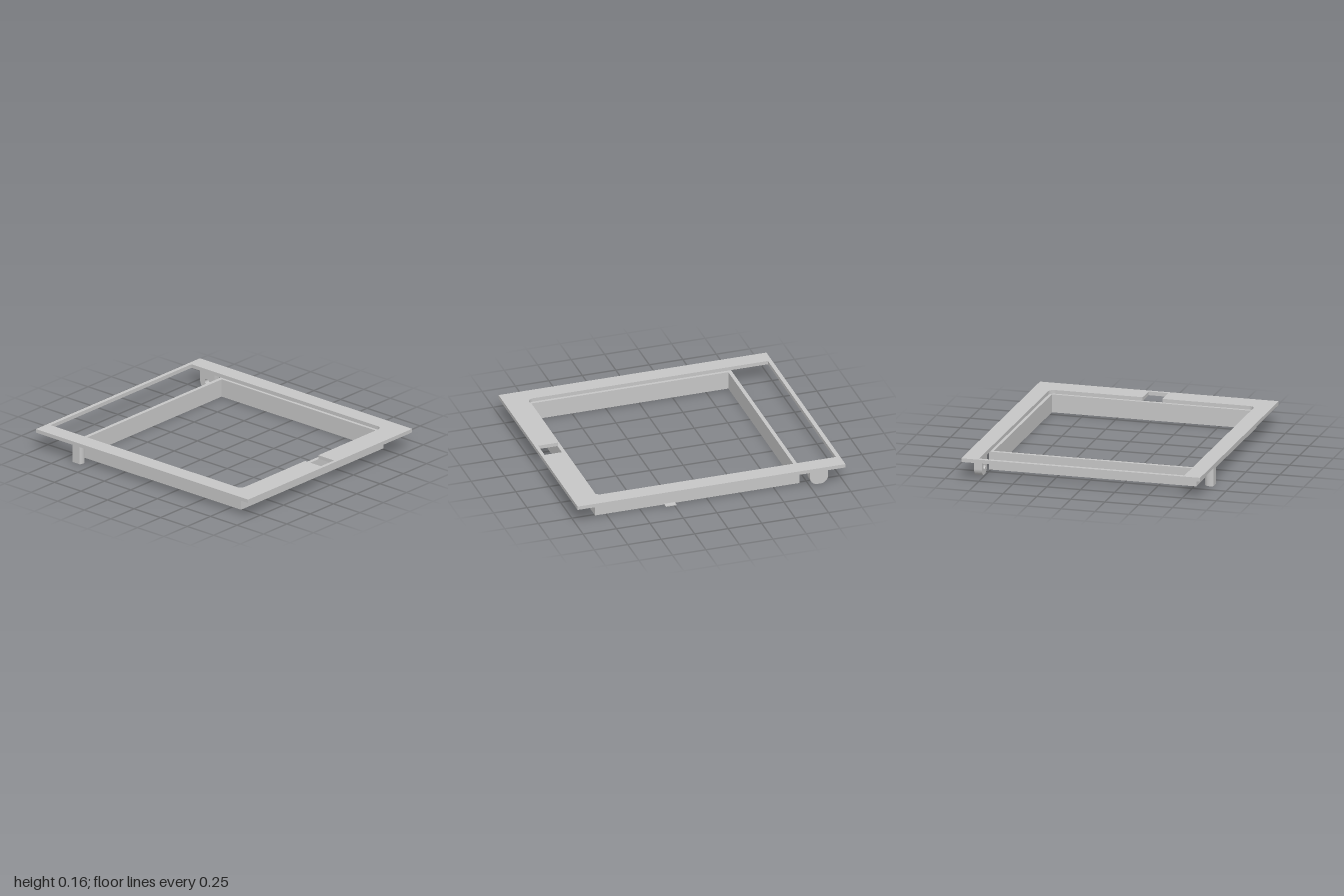
import * as THREE from 'three';

const PLATE_Y = 0.132, PLATE_T = 0.027;

export function createModel() {
  const model = new THREE.Group();
  const grey = new THREE.MeshStandardMaterial({ color: 0xc6c6c6 });
  grey.name = 'light grey plastic';

  const add = (name, geometry) => {
    const mesh = new THREE.Mesh(geometry, grey);
    mesh.name = name;
    model.add(mesh);
    return mesh;
  };
  const rect = (Type, x0, y0, x1, y1) => {
    const p = new Type();
    p.moveTo(x0, y0); p.lineTo(x1, y0); p.lineTo(x1, y1); p.lineTo(x0, y1);
    p.closePath();
    return p;
  };
  const circle = (x, y, r) => new THREE.Path().absarc(x, y, r, 0, Math.PI * 2, true);
  const extrude = (shape, depth) =>
    new THREE.ExtrudeGeometry(shape, { depth, bevelEnabled: false, curveSegments: 16 });
  // Plan shapes use (x, -z) and rise from height y
  const rise = (shape, y, height) => extrude(shape, height).rotateX(-Math.PI / 2).translate(0, y, 0);

  // Top plate: one large opening, rounded on the +x corners, with a notch
  const plate = rect(THREE.Shape, -1, -0.88, 1, 0.88);
  const r = 0.045, ox = 0.826, oz = 0.757;
  const opening = new THREE.Path();
  opening.moveTo(-0.97, -oz);
  opening.lineTo(ox - r, -oz);
  opening.absarc(ox - r, -oz + r, r, -Math.PI / 2, 0, false);
  opening.lineTo(ox, -0.072);
  opening.lineTo(0.975, -0.072);
  opening.lineTo(0.975, 0.072);
  opening.lineTo(ox, 0.072);
  opening.absarc(ox - r, oz - r, r, 0, Math.PI / 2, false);
  opening.lineTo(-0.97, oz);
  opening.closePath();
  plate.holes.push(opening);
  add('topPlate', rise(plate, PLATE_Y, PLATE_T));

  // Rectangular skirt under the plate
  const skirt = rect(THREE.Shape, -0.695, -0.764, 0.831, 0.764);
  skirt.holes.push(rect(THREE.Path, -0.667, -0.735, 0.803, 0.735));
  add('skirtFrame', rise(skirt, 0, PLATE_Y));

  // Hinge tab with rounded lower corners and a blind hole facing the front
  const tabShape = () => {
    const s = new THREE.Shape(), x0 = -0.891, x1 = -0.757, c = 0.055;
    s.moveTo(x0, PLATE_Y);
    s.lineTo(x0, c);
    s.absarc(x0 + c, c, c, Math.PI, Math.PI * 1.5, false);
    s.absarc(x1 - c, c, c, Math.PI * 1.5, Math.PI * 2, false);
    s.lineTo(x1, PLATE_Y);
    s.closePath();
    return s;
  };
  const drilled = tabShape();
  drilled.holes.push(circle(-0.824, 0.062, 0.023));
  add('hingeTabFront', extrude(drilled, 0.04).translate(0, 0, -0.8));
  add('hingeTabBack', extrude(tabShape(), 0.017).translate(0, 0, -0.817));

  // Screw post: a round boss cut flat at the front edge
  const px = -0.622, pz = 0.852, pr = 0.0435, cut = Math.asin(0.028 / pr);
  const post = new THREE.Shape();
  post.absarc(px, -pz, pr, -cut, Math.PI + cut, false);
  post.closePath();
  post.holes.push(circle(px, -pz, 0.017));
  add('screwPost', rise(post, 0, PLATE_Y));

  // Thin catch at the foot of the back wall
  add('backCatch', new THREE.BoxGeometry(0.08, 0.006, 0.045)).position.set(0.275, 0.003, -0.78);

  return model;
}
